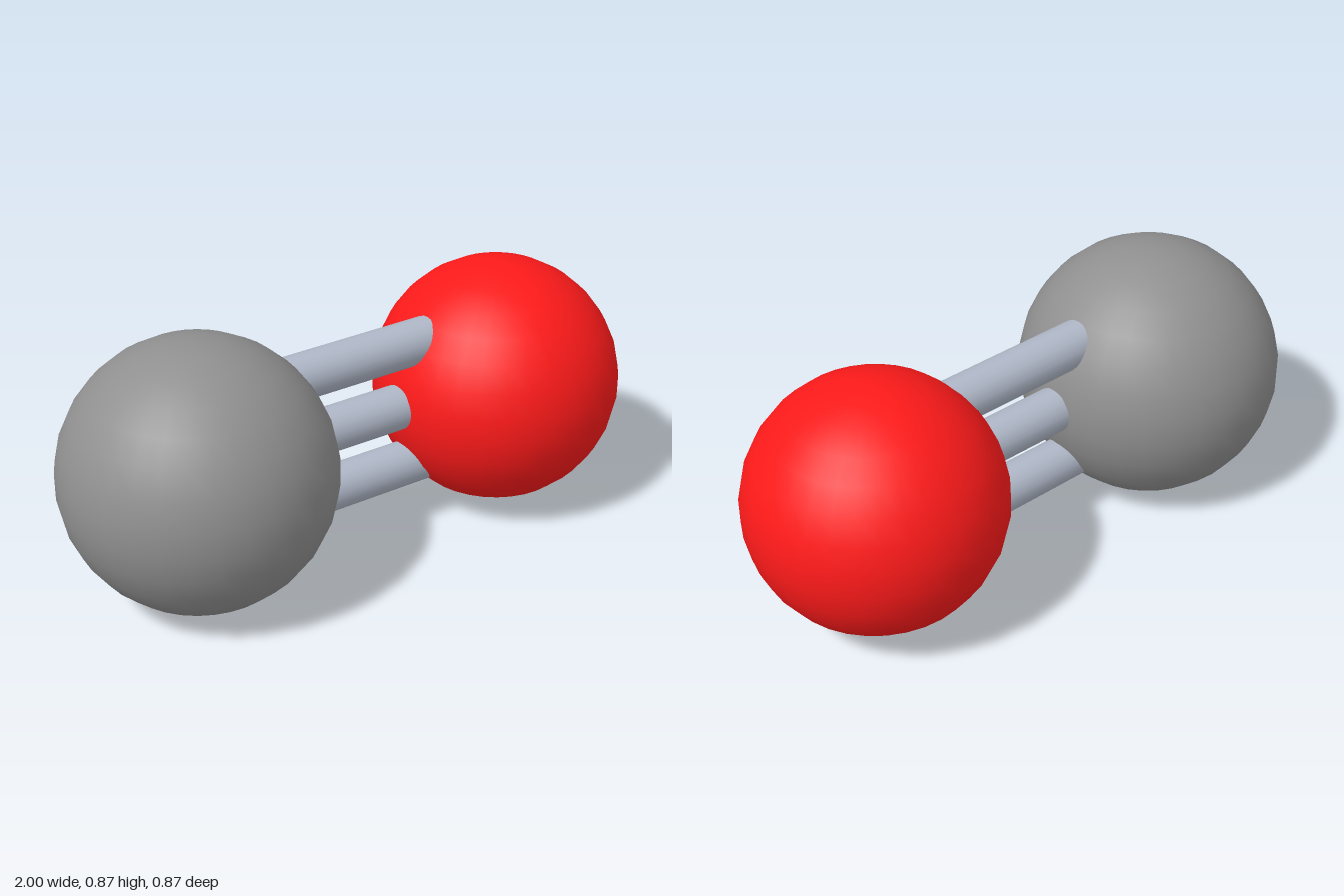
import * as THREE from 'three';

const CENTER_Y = 0.4365;
const LEFT_X = 0.587;
const RIGHT_X = -0.566;

function createAtom(name, radius, x, color) {
  const atom = new THREE.Mesh(
    new THREE.SphereGeometry(radius, 32, 15),
    new THREE.MeshStandardMaterial({ color })
  );
  atom.name = name;
  atom.position.set(x, CENTER_Y, 0);
  return atom;
}

export function createModel() {
  const model = new THREE.Group();
  model.name = 'diatomicMolecule';

  // Two atoms
  model.add(createAtom('greyAtom', 0.4365, RIGHT_X, 0x909090));
  model.add(createAtom('redAtom', 0.413, LEFT_X, 0xff1a1a));

  // Triple bond: three parallel rods stacked vertically, running between the atom centres
  const bonds = new THREE.Group();
  bonds.name = 'tripleBond';
  const rod = new THREE.CylinderGeometry(0.075, 0.075, LEFT_X - RIGHT_X, 24);
  rod.rotateZ(Math.PI / 2);
  const rodMaterial = new THREE.MeshStandardMaterial({ color: 0xb0b8c8 });
  ['lowerBond', 'middleBond', 'upperBond'].forEach((name, i) => {
    const bond = new THREE.Mesh(rod, rodMaterial);
    bond.name = name;
    bond.position.set((LEFT_X + RIGHT_X) / 2, CENTER_Y + (i - 1) * 0.218, 0);
    bonds.add(bond);
  });
  model.add(bonds);

  return model;
}
